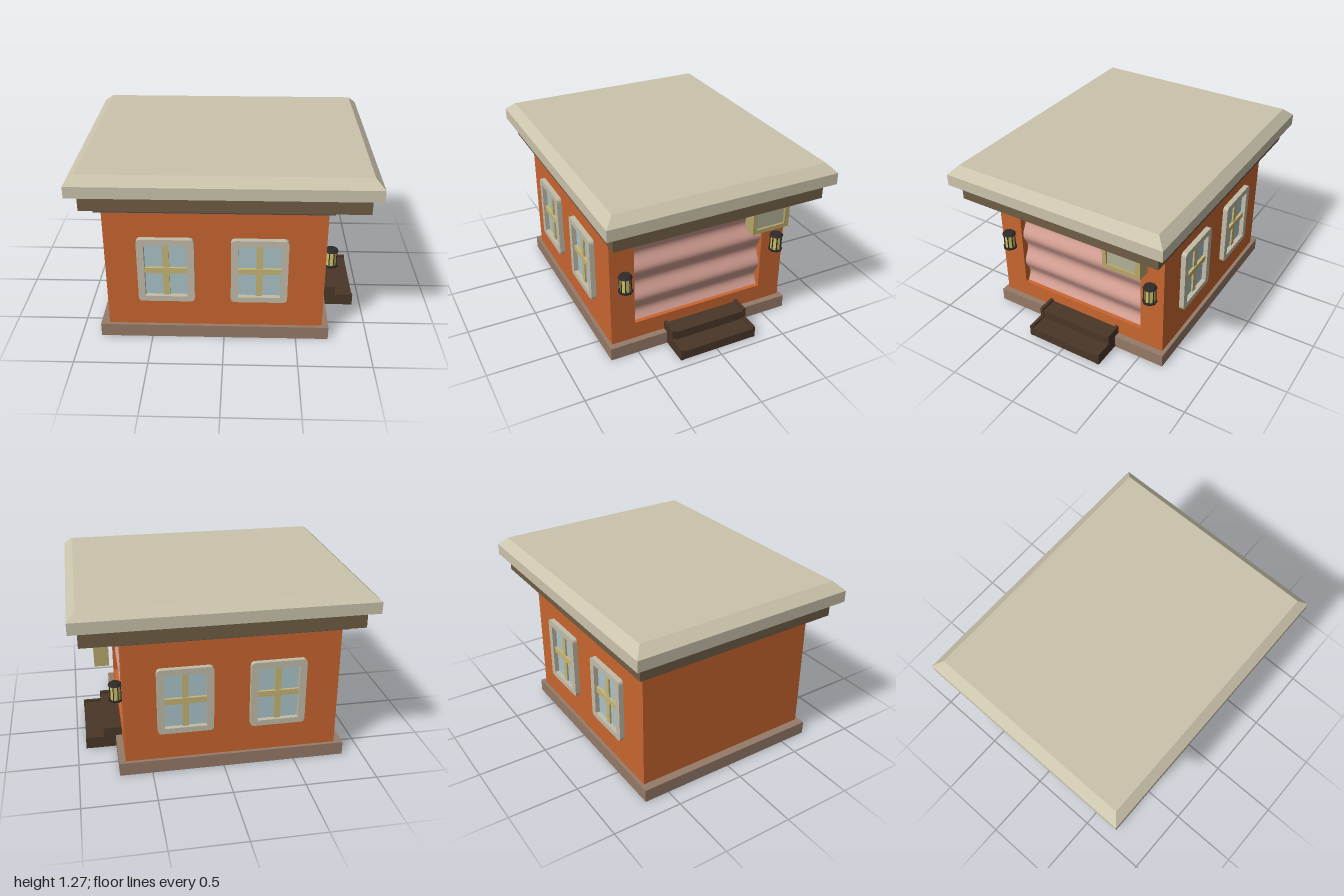
import * as THREE from 'three';

const mat = (color, side = THREE.FrontSide) => new THREE.MeshStandardMaterial({ color, side });
const M = {
  wall: mat(0xc86630), plinth: mat(0x967a68), band: mat(0x4c4b50), fascia: mat(0x6f5d44),
  roof: mat(0xcbc4ac), frame: mat(0xc2bca8), glass: mat(0xabc4ca), bar: mat(0xc6b678),
  shutter: mat(0xd49f93, THREE.DoubleSide), step: mat(0x4a3728), sign: mat(0xb8a86c),
  panel: mat(0xb2b094), iron: mat(0x2e2a28), lamp: mat(0xcdc268),
};

function add(parent, name, geometry, material) {
  const mesh = new THREE.Mesh(geometry, material);
  mesh.name = name;
  parent.add(mesh);
  return mesh;
}

// Box given by its limits on each axis
function box(parent, name, material, x0, x1, y0, y1, z0, z1) {
  const mesh = add(parent, name, new THREE.BoxGeometry(x1 - x0, y1 - y0, z1 - z0), material);
  mesh.position.set((x0 + x1) / 2, (y0 + y1) / 2, (z0 + z1) / 2);
  return mesh;
}

function rect(Type, x0, x1, y0, y1) {
  const p = new Type();
  p.moveTo(x0, y0).lineTo(x1, y0).lineTo(x1, y1).lineTo(x0, y1).closePath();
  return p;
}

function roundedRect(w, h, r) {
  const s = new THREE.Shape(), x = w / 2, y = h / 2;
  s.moveTo(-x + r, -y).lineTo(x - r, -y).quadraticCurveTo(x, -y, x, -y + r);
  s.lineTo(x, y - r).quadraticCurveTo(x, y, x - r, y).lineTo(-x + r, y);
  s.quadraticCurveTo(-x, y, -x, y - r).lineTo(-x, -y + r).quadraticCurveTo(-x, -y, -x + r, -y);
  return s;
}

const extrude = (shape, depth) =>
  new THREE.ExtrudeGeometry(shape, { depth, bevelEnabled: false, curveSegments: 4 });

// Window with rounded frame, pane and crossed bars, facing local +z
function makeWindow() {
  const g = new THREE.Group();
  g.name = 'window';
  const shape = roundedRect(0.383, 0.48, 0.03);
  shape.holes.push(rect(THREE.Path, -0.143, 0.143, -0.2, 0.195));
  add(g, 'windowFrame', extrude(shape, 0.036), M.frame);
  box(g, 'windowPane', M.glass, -0.145, 0.145, -0.202, 0.197, -0.01, 0.003);
  box(g, 'verticalBar', M.bar, -0.022, 0.022, -0.2, 0.195, 0, 0.016);
  box(g, 'horizontalBar', M.bar, -0.143, 0.143, -0.026, 0.016, 0, 0.022);
  return g;
}

// Eight-sided wall lantern with its origin at the centre
function makeLantern() {
  const g = new THREE.Group();
  g.name = 'lantern';
  const part = (name, r0, r1, h, y, m) => {
    const geo = new THREE.CylinderGeometry(r0, r1, h, 8).rotateY(Math.PI / 8).toNonIndexed();
    geo.computeVertexNormals();
    add(g, name, geo, m).position.y = y;
  };
  part('lanternGlass', 0.038, 0.038, 0.11, 0, M.lamp);
  part('lanternBase', 0.05, 0.05, 0.012, -0.059, M.iron);
  part('lanternCap', 0.038, 0.05, 0.016, 0.057, M.iron);
  for (let i = 0; i < 8; i++) {
    const a = (i + 0.5) * Math.PI / 4, x = 0.039 * Math.cos(a), z = 0.039 * Math.sin(a);
    box(g, 'lanternBar', M.iron, x - 0.003, x + 0.003, -0.055, 0.055, z - 0.003, z + 0.003);
  }
  return g;
}

export function createModel() {
  const model = new THREE.Group();
  model.name = 'smallShop';

  // Walls: solid core plus a front layer with the shutter recess cut out
  box(model, 'plinth', M.plinth, -0.86, 0.725, 0, 0.095, -0.68, 0.7);
  box(model, 'walls', M.wall, -0.8, 0.6, 0.09, 0.97, -0.655, 0.675);
  const wall = rect(THREE.Shape, -0.675, 0.655, 0.09, 0.97);
  wall.holes.push(rect(THREE.Path, -0.5, 0.48, 0.22, 0.968));
  const shutterWall = add(model, 'shutterWall', extrude(wall, 0.08), M.wall);
  shutterWall.rotation.y = Math.PI / 2;
  shutterWall.position.x = 0.6;

  // Sloping lintel above the shutter
  const lintel = new THREE.Shape();
  lintel.moveTo(0.59, 0.87).lineTo(0.65, 0.87).lineTo(0.68, 0.969).lineTo(0.59, 0.969).closePath();
  add(model, 'lintel', extrude(lintel, 0.98), M.wall).position.z = -0.48;

  // Wavy roller shutter
  const shutter = new THREE.PlaneGeometry(0.98, 0.65, 1, 48).rotateY(Math.PI / 2);
  const p = shutter.attributes.position;
  for (let i = 0; i < p.count; i++) {
    const y = p.getY(i) + 0.545;
    p.setX(i, 0.645 + 0.02 * Math.sin((y - 0.345) * 2 * Math.PI / 0.2275));
  }
  shutter.computeVertexNormals();
  add(model, 'rollerShutter', shutter, M.shutter).position.set(0, 0.545, 0.01);

  // Roof: trim band, fascia and slab with a sloped rim
  box(model, 'trimBand', M.band, -0.85, 0.72, 0.97, 1.012, -0.665, 0.685);
  box(model, 'fascia', M.fascia, -0.93, 0.94, 1.012, 1.13, -0.75, 0.75);
  box(model, 'roofSlab', M.roof, -1, 1, 1.13, 1.21, -0.81, 0.81);
  const rim = new THREE.BoxGeometry(2, 0.06, 1.62).toNonIndexed();
  const q = rim.attributes.position;
  for (let i = 0; i < q.count; i++) {
    if (q.getY(i) < 0) continue;
    q.setX(i, q.getX(i) < 0 ? -0.93 : 0.94);
    q.setZ(i, Math.sign(q.getZ(i)) * 0.75);
  }
  rim.computeVertexNormals();
  add(model, 'roofTop', rim, M.roof).position.y = 1.24;

  // Two windows on each long wall
  for (const [x, z, turn] of [[-0.389, 0.675, 0], [0.238, 0.675, 0], [0.265, -0.655, Math.PI], [-0.37, -0.655, Math.PI]]) {
    const w = makeWindow();
    w.position.set(x, 0.545, z);
    w.rotation.y = turn;
    model.add(w);
  }

  // Lanterns either side of the shutter
  for (const z of [0.582, -0.572]) {
    const l = makeLantern();
    l.position.set(0.721, 0.6, z);
    model.add(l);
  }

  // Hanging sign with a recessed blank panel on both faces
  const sign = new THREE.Group();
  sign.name = 'hangingSign';
  const board = rect(THREE.Shape, 0.29, 0.57, 0.793, 0.968);
  board.holes.push(rect(THREE.Path, 0.32, 0.535, 0.823, 0.942));
  const border = add(sign, 'signBorder', extrude(board, 0.095), M.sign);
  border.rotation.y = Math.PI / 2;
  border.position.x = 0.75;
  box(sign, 'signPanel', M.panel, 0.765, 0.83, 0.82, 0.945, -0.54, -0.315);
  for (const z of [-0.362, -0.507])
    for (const s of [-0.014, 0.014])
      box(sign, 'signBracket', M.panel, 0.772, 0.825, 0.96, 1.015, z + s - 0.008, z + s + 0.008);
  model.add(sign);

  // Entrance steps between stepped cheeks
  const steps = new THREE.Group();
  steps.name = 'entranceSteps';
  box(steps, 'lowerStep', M.step, 0.68, 0.938, 0.006, 0.075, -0.28, 0.257);
  box(steps, 'upperStep', M.step, 0.68, 0.805, 0.006, 0.14, -0.28, 0.257);
  const cheek = new THREE.Shape();
  cheek.moveTo(0.68, 0.005).lineTo(0.94, 0.005).lineTo(0.94, 0.09).lineTo(0.81, 0.09);
  cheek.lineTo(0.81, 0.158).lineTo(0.68, 0.158).closePath();
  for (const z of [-0.302, 0.257])
    add(steps, 'stepCheek', extrude(cheek, 0.023), M.step).position.z = z;
  model.add(steps);

  return model;
}
